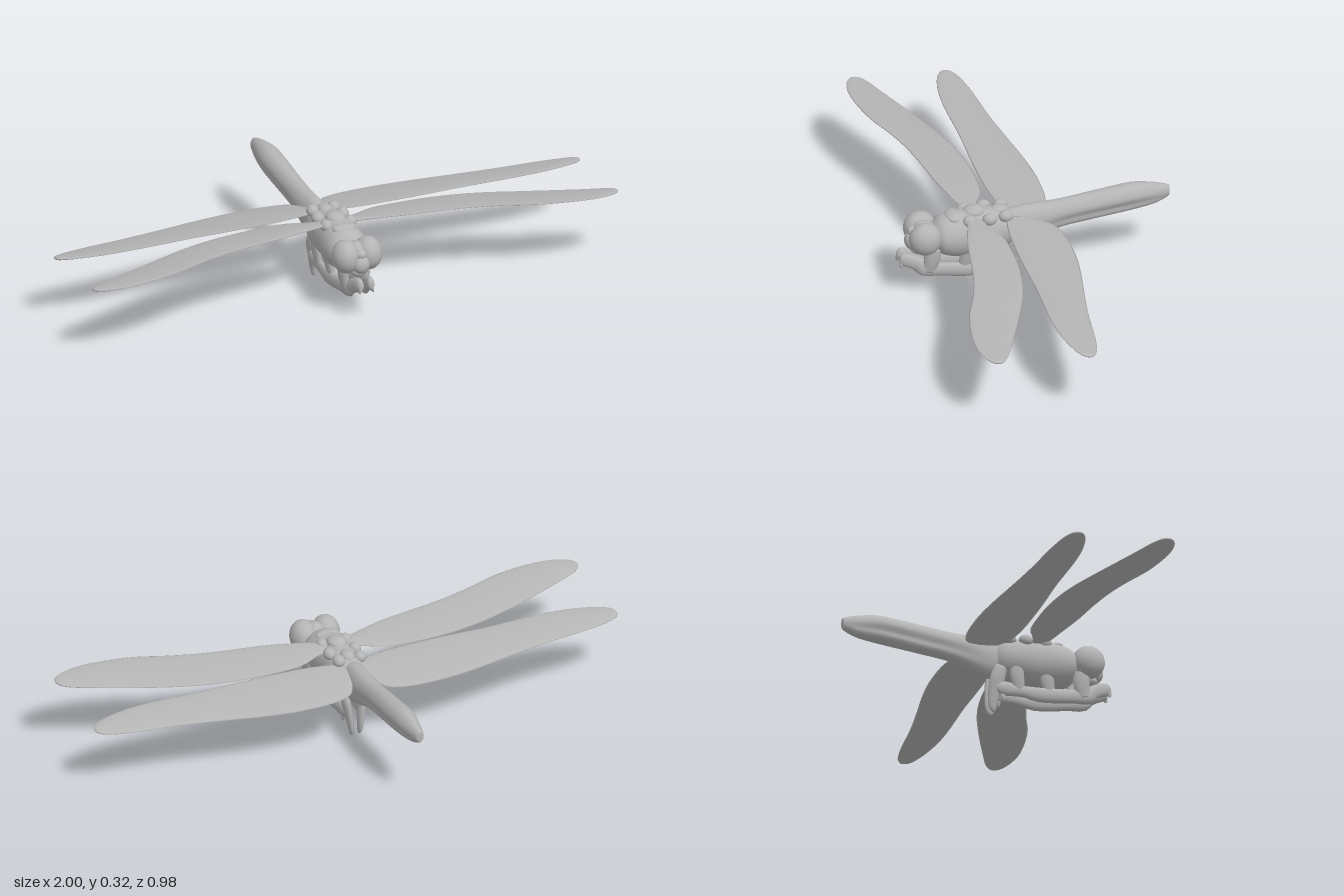
import * as THREE from 'three';

const grey = new THREE.MeshStandardMaterial({ color: 0xb4b4b4 });
grey.name = 'grey';

const V = (x, y, z) => new THREE.Vector3(x, y, z);

// Smoothly interpolates rows of numbers, giving n + 1 rows
function sample(rows, n) {
  const out = [], last = rows.length - 1;
  for (let i = 0; i <= n; i++) {
    const f = (i / n) * last, k = Math.min(Math.floor(f), last - 1), t = f - k;
    const a = rows[Math.max(k - 1, 0)], b = rows[k], c = rows[k + 1], d = rows[Math.min(k + 2, last)];
    out.push(b.map((_, j) => b[j] + 0.5 * t * (c[j] - a[j] + t * (2 * a[j] - 5 * b[j] + 4 * c[j] - d[j]
      + t * (3 * (b[j] - c[j]) + d[j] - a[j])))));
  }
  return out;
}

// Skins closed rings of points and caps both ends, facing outward
function loft(name, rings) {
  const n = rings[0].length, pts = rings.flat(), idx = [];
  for (let i = 0; i < rings.length - 1; i++) {
    for (let j = 0; j < n; j++) {
      const a = i * n + j, b = i * n + (j + 1) % n;
      idx.push(a, b, a + n, b, b + n, a + n);
    }
  }
  [0, rings.length - 1].forEach((r) => {
    const mid = V(0, 0, 0);
    rings[r].forEach((p) => mid.addScaledVector(p, 1 / n));
    const c = pts.push(mid) - 1;
    for (let j = 0; j < n; j++) {
      const a = r * n + j, b = r * n + (j + 1) % n;
      if (r === 0) idx.push(c, b, a); else idx.push(c, a, b);
    }
  });
  let volume = 0;
  for (let i = 0; i < idx.length; i += 3) {
    volume += pts[idx[i]].dot(V(0, 0, 0).crossVectors(pts[idx[i + 1]], pts[idx[i + 2]]));
  }
  if (volume < 0) idx.reverse();
  const g = new THREE.BufferGeometry().setFromPoints(pts);
  g.setIndex(idx);
  g.computeVertexNormals();
  const mesh = new THREE.Mesh(g, grey);
  mesh.name = name;
  return mesh;
}

const ring = (n, f) => Array.from({ length: n }, (_, j) => f((j / n) * Math.PI * 2));

// Body section rows: z, bottom, top, half width, depth of the side groove
function body(name, rows) {
  return loft(name, sample(rows, 48).map(([z, lo, hi, w, groove]) => ring(32, (a) => {
    const s = Math.sin(a), pinch = 1 - groove * Math.exp(-(((s + 0.3) / 0.25) ** 2));
    return V(Math.cos(a) * w * pinch, (lo + hi) / 2 + (s * (hi - lo)) / 2, z);
  })));
}

// Limb rows: x, y, z, radius; flattened sideways
function limb(name, side, rows) {
  const s = sample(rows, 16);
  return loft(name, s.map(([x, y, z, r], i) => {
    const a = s[Math.max(i - 1, 0)], b = s[Math.min(i + 1, 16)];
    const n = V(0, a[2] - b[2], b[1] - a[1]).normalize();
    return ring(12, (t) => V(side * (x + Math.cos(t) * r * 0.55), y, z).addScaledVector(n, Math.sin(t) * r));
  }));
}

// Wing rows: x, leading z, trailing z; height(z, middle z) sets the tilt
function wing(name, side, rows, height) {
  return loft(name, sample(rows, 48).map(([x, lead, trail]) => {
    const mid = (lead + trail) / 2, half = (lead - trail) / 2;
    return ring(20, (a) => {
      const z = mid + Math.cos(a) * half;
      return V(side * x, height(z, mid) + Math.sin(a) * Math.min(0.007, half * 0.3), z);
    });
  }));
}

function ball(name, x, y, z, rx, ry, rz) {
  const m = new THREE.Mesh(new THREE.SphereGeometry(1, 28, 20), grey);
  m.position.set(x, y, z);
  m.scale.set(rx, ry, rz);
  m.name = name;
  return m;
}

export function createModel() {
  const g = new THREE.Group();
  g.name = 'dragonfly';

  // Abdomen and thorax
  g.add(body('abdomen', [
    [0.13, 0.16, 0.27, 0.04, 0], [0.06, 0.136, 0.284, 0.042, 0], [0, 0.15, 0.287, 0.043, 0.08],
    [-0.09, 0.182, 0.289, 0.039, 0.2], [-0.19, 0.196, 0.3, 0.04, 0.25], [-0.29, 0.208, 0.311, 0.043, 0.25],
    [-0.36, 0.216, 0.317, 0.041, 0.22], [-0.43, 0.226, 0.308, 0.029, 0.15],
    [-0.475, 0.243, 0.296, 0.018, 0], [-0.487, 0.253, 0.29, 0.012, 0],
  ]));
  g.add(body('thorax', [
    [0.06, 0.17, 0.26, 0.035, 0], [0.09, 0.145, 0.283, 0.058, 0], [0.14, 0.137, 0.292, 0.068, 0],
    [0.21, 0.128, 0.298, 0.072, 0], [0.28, 0.127, 0.295, 0.078, 0], [0.33, 0.14, 0.283, 0.074, 0],
    [0.355, 0.16, 0.265, 0.055, 0], [0.375, 0.19, 0.24, 0.02, 0],
  ]));

  // Raised plates on the back
  g.add(ball('backPlate', 0, 0.29, 0.215, 0.035, 0.021, 0.04));
  g.add(ball('rearBackPlate', 0, 0.282, 0.125, 0.025, 0.018, 0.035));
  g.add(ball('frontBackPlate', 0, 0.282, 0.29, 0.045, 0.015, 0.03));

  // Head and face
  g.add(ball('head', 0, 0.22, 0.395, 0.045, 0.055, 0.05));
  g.add(ball('face', 0, 0.205, 0.435, 0.032, 0.036, 0.03));
  g.add(ball('forehead', 0, 0.242, 0.437, 0.02, 0.018, 0.018));
  g.add(ball('jaw', 0, 0.172, 0.415, 0.03, 0.022, 0.03));

  for (const side of [1, -1]) {
    const p = side > 0 ? 'left' : 'right';
    g.add(ball(p + 'Eye', side * 0.043, 0.227, 0.4, 0.048, 0.06, 0.058));
    [[0.04, 0.11], [0.048, 0.17], [0.045, 0.24]].forEach(([x, z]) => {
      g.add(ball(p + 'WingHinge', side * x, 0.276, z, 0.022, 0.022, 0.026));
    });

    // Wings
    g.add(wing(p + 'FrontWing', side, [
      [0.03, 0.24, 0.19], [0.08, 0.258, 0.185], [0.16, 0.28, 0.15], [0.25, 0.3, 0.143], [0.37, 0.318, 0.146],
      [0.48, 0.34, 0.162], [0.58, 0.37, 0.188], [0.69, 0.41, 0.228], [0.8, 0.432, 0.272], [0.89, 0.438, 0.31],
      [0.955, 0.427, 0.338], [0.99, 0.408, 0.362], [1, 0.39, 0.38],
    ], (z, mid) => 0.276 + 0.16 * (z - mid)));
    g.add(wing(p + 'RearWing', side, [
      [0.03, 0.105, 0.02], [0.06, 0.112, -0.045], [0.1, 0.12, -0.068], [0.17, 0.128, -0.08], [0.29, 0.132, -0.08],
      [0.41, 0.131, -0.066], [0.53, 0.128, -0.045], [0.63, 0.13, -0.028], [0.72, 0.132, -0.015],
      [0.81, 0.129, -0.006], [0.89, 0.118, 0.004], [0.955, 0.1, 0.018], [0.99, 0.08, 0.035], [1, 0.062, 0.05],
    ], (z) => 0.243 + 0.19 * z));

    // Legs folded under the body
    g.add(limb(p + 'FoldedLeg', side, [
      [0.028, 0.115, 0.43, 0.015], [0.03, 0.1, 0.4, 0.029], [0.033, 0.092, 0.34, 0.026], [0.036, 0.084, 0.28, 0.028],
      [0.036, 0.08, 0.22, 0.028], [0.034, 0.086, 0.16, 0.022], [0.03, 0.09, 0.09, 0.027], [0.028, 0.1, 0.06, 0.015],
    ]));
    g.add(limb(p + 'Foreleg', side, [
      [0.03, 0.1, 0.395, 0.028], [0.026, 0.125, 0.43, 0.026], [0.022, 0.138, 0.46, 0.026],
      [0.02, 0.143, 0.478, 0.023], [0.02, 0.145, 0.487, 0.012],
    ]));
    g.add(limb(p + 'HindLeg', side, [
      [0.033, 0.17, 0.085, 0.022], [0.03, 0.13, 0.072, 0.027], [0.023, 0.08, 0.064, 0.024],
      [0.018, 0.035, 0.057, 0.017], [0.016, 0.012, 0.06, 0.012], [0.015, 0.002, 0.063, 0.004],
    ]));
    [[0.375, 0.03], [0.25, 0.026], [0.14, 0.026]].forEach(([z, r]) => {
      g.add(limb(p + 'UpperLeg', side, [[0.042, 0.18, z, r], [0.04, 0.14, z, r], [0.034, 0.09, z + 0.01, r * 0.8]]));
    });
    // Small claws
    g.add(limb(p + 'HindClaw', side, [[0.024, 0.09, 0.08, 0.014], [0.03, 0.06, 0.092, 0.01], [0.032, 0.045, 0.094, 0.003]]));
    g.add(limb(p + 'FrontClaw', side, [[0.022, 0.14, 0.475, 0.015], [0.024, 0.122, 0.482, 0.009], [0.025, 0.113, 0.484, 0.003]]));
  }
  return g;
}
